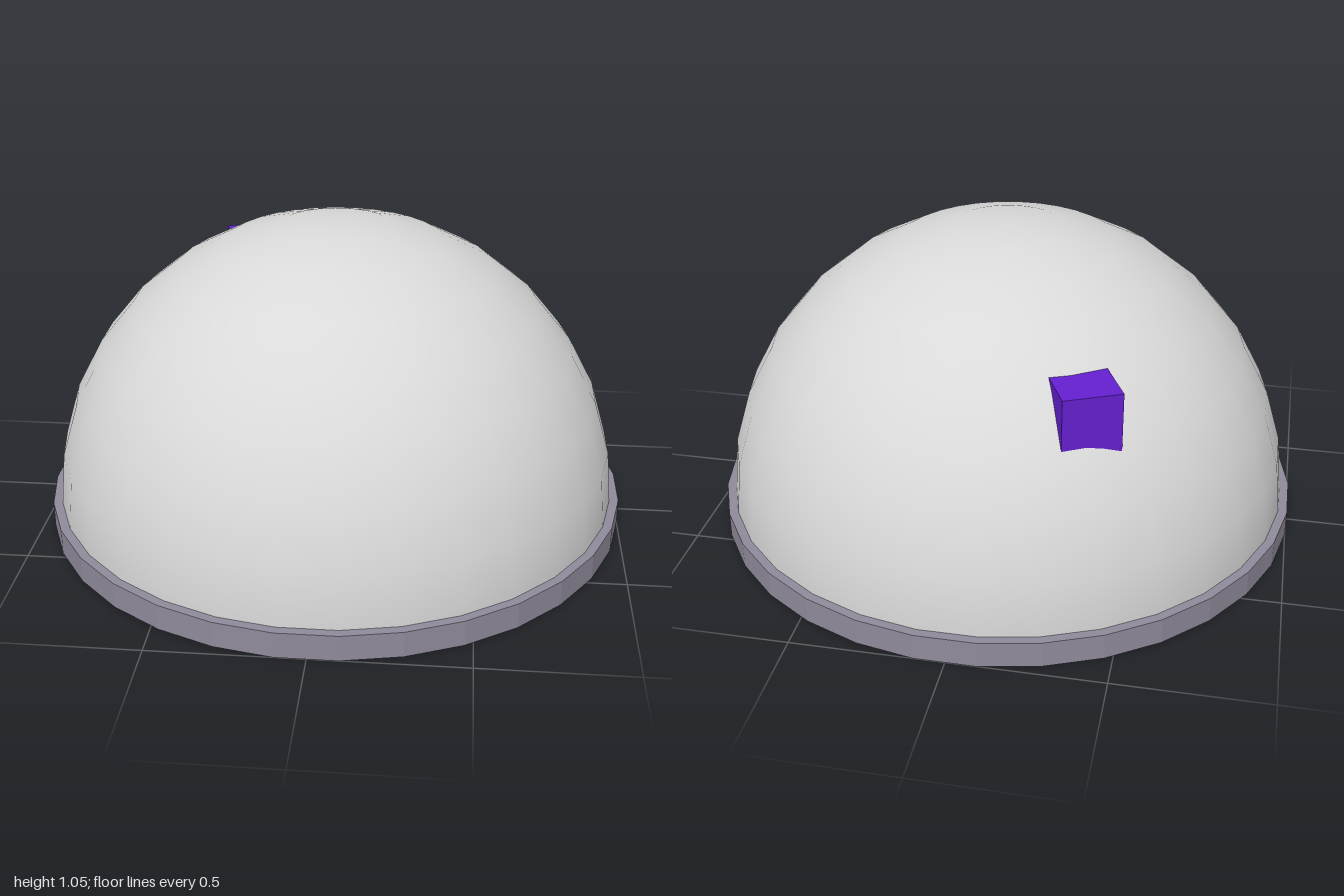
import * as THREE from 'three';

const SIDES = 32;
const TURN = Math.PI / SIDES; // half a step, so flat facets face the axes
const WIDEN = 1 / Math.cos(TURN); // facet distance to corner radius

export function createModel() {
  const model = new THREE.Group();

  const shell = new THREE.MeshStandardMaterial({ color: 0xd9d9d9 });
  shell.name = 'light grey shell';
  const rim = new THREE.MeshStandardMaterial({ color: 0x8f8a9a });
  rim.name = 'grey violet rim';
  const purple = new THREE.MeshStandardMaterial({ color: 0x6420d0 });
  purple.name = 'purple';

  function add(name, geometry, material, x, y, z) {
    const mesh = new THREE.Mesh(geometry, material);
    mesh.name = name;
    mesh.position.set(x, y, z);
    model.add(mesh);
    return mesh;
  }

  // Faceted base disc with a sharp edge
  const disc = new THREE.CylinderGeometry(WIDEN, WIDEN, 0.088, SIDES, 1, false, TURN).toNonIndexed();
  disc.computeVertexNormals();
  add('baseRim', disc, rim, 0, 0.044, 0);

  // Smooth half-sphere standing on the disc
  const half = new THREE.SphereGeometry(0.97 * WIDEN, SIDES, 8, TURN, Math.PI * 2, 0, Math.PI / 2);
  add('dome', half, shell, 0, 0.08, 0);

  // Small block sunk into the upper back of the dome
  const block = add('block', new THREE.BoxGeometry(0.19, 0.22, 0.19), purple, -0.353, 0.69, -0.614);
  block.rotation.y = 0.43;

  return model;
}
